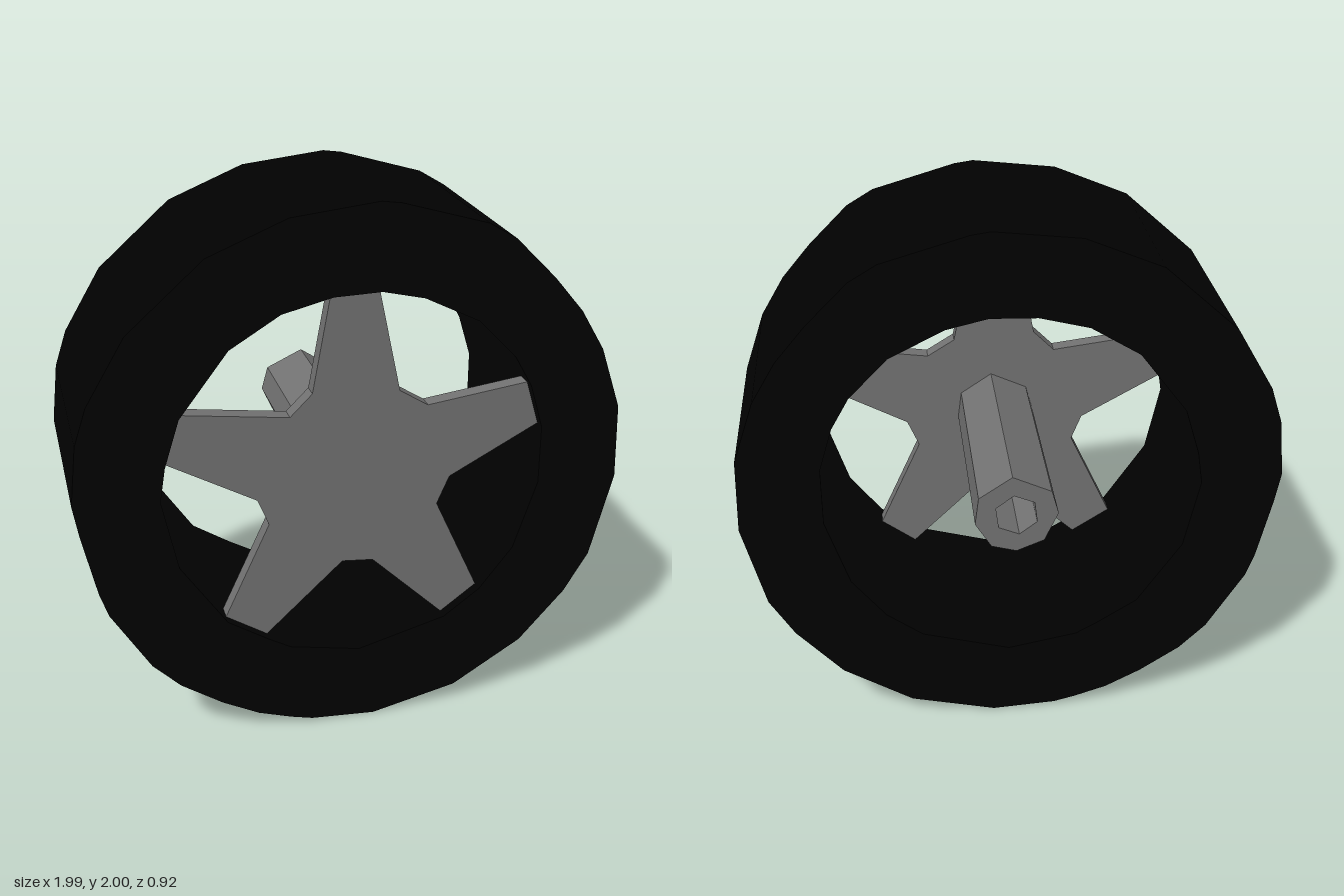
import * as THREE from 'three';

const material = (color) => new THREE.MeshStandardMaterial({ color, flatShading: true });
const points = (flat) => {
  const list = [];
  for (let i = 0; i < flat.length; i += 2) list.push(new THREE.Vector2(flat[i], flat[i + 1]));
  return list;
};

// Straight-walled part between two depths: clockwise outline, optional anticlockwise hole
function slab(name, outline, hole, back, front, mat) {
  const shape = new THREE.Shape(outline);
  if (hole) shape.holes.push(new THREE.Path(hole));
  const geometry = new THREE.ExtrudeGeometry(shape, { depth: front - back, bevelEnabled: false });
  geometry.translate(0, 0, back);
  const mesh = new THREE.Mesh(geometry, mat);
  mesh.name = name;
  return mesh;
}

export function createModel() {
  const model = new THREE.Group();
  model.name = 'wheel';
  const rubber = material(0x010101);
  const metal = material(0x737373);

  // Outlines are measured from the wheel centre, clockwise from the top
  const tyreOuter = points([
    0.07, 1, 0.14, 0.99, 0.45, 0.90, 0.55, 0.84, 0.70, 0.69, 0.81, 0.56, 0.90, 0.41,
    0.98, 0.18, 0.99, -0.10, 0.91, -0.42, 0.82, -0.57, 0.65, -0.76, 0.39, -0.92,
    0.07, -0.995, -0.17, -0.98, -0.25, -0.96, -0.375, -0.92, -0.51, -0.85, -0.66, -0.75,
    -0.76, -0.65, -0.90, -0.42, -0.93, -0.33, -0.98, -0.10, -1, 0.02, -0.975, 0.24,
    -0.93, 0.375, -0.79, 0.61, -0.52, 0.85, -0.24, 0.965]);
  const tyreInner = points([
    -0.09, 0.685, 0.08, 0.69, 0.23, 0.655, 0.43, 0.555, 0.57, 0.41, 0.635, 0.295,
    0.685, 0.13, 0.685, -0.09, 0.60, -0.35, 0.475, -0.51, 0.34, -0.61, 0.01, -0.70,
    -0.25, -0.65, -0.33, -0.605, -0.48, -0.51, -0.645, -0.265, -0.70, 0, -0.68, 0.125,
    -0.625, 0.30, -0.45, 0.53, -0.27, 0.64]).reverse();
  model.add(slab('tyre', tyreOuter, tyreInner, -0.305, 0.46, rubber));

  // Five-armed spoke plate just inside the front face
  const spokes = points([
    -0.09, 0.685, 0.08, 0.69, 0.16, 0.31, 0.265, 0.245, 0.635, 0.295, 0.685, 0.13,
    0.355, -0.045, 0.31, -0.15, 0.475, -0.51, 0.34, -0.61, 0.07, -0.35, -0.045, -0.34,
    -0.33, -0.605, -0.48, -0.51, -0.315, -0.155, -0.355, -0.055, -0.68, 0.125,
    -0.625, 0.30, -0.235, 0.25, -0.155, 0.33]);
  model.add(slab('spokes', spokes, null, 0.36, 0.42, metal));

  // Hollow axle running out past the back of the tyre
  const axle = points([
    0.015, 0.155, 0.135, 0.075, 0.148, -0.03, 0.09, -0.125, 0, -0.15,
    -0.10, -0.11, -0.15, 0, -0.125, 0.09]);
  const bore = [];
  for (let i = 0; i < 6; i++) {
    const a = (i / 6) * Math.PI * 2 + 0.4;
    bore.push(new THREE.Vector2(0.08 * Math.cos(a), 0.08 * Math.sin(a)));
  }
  model.add(slab('axle', axle, bore, -0.46, 0.37, metal));

  for (const part of model.children) part.position.y = 1;
  return model;
}
